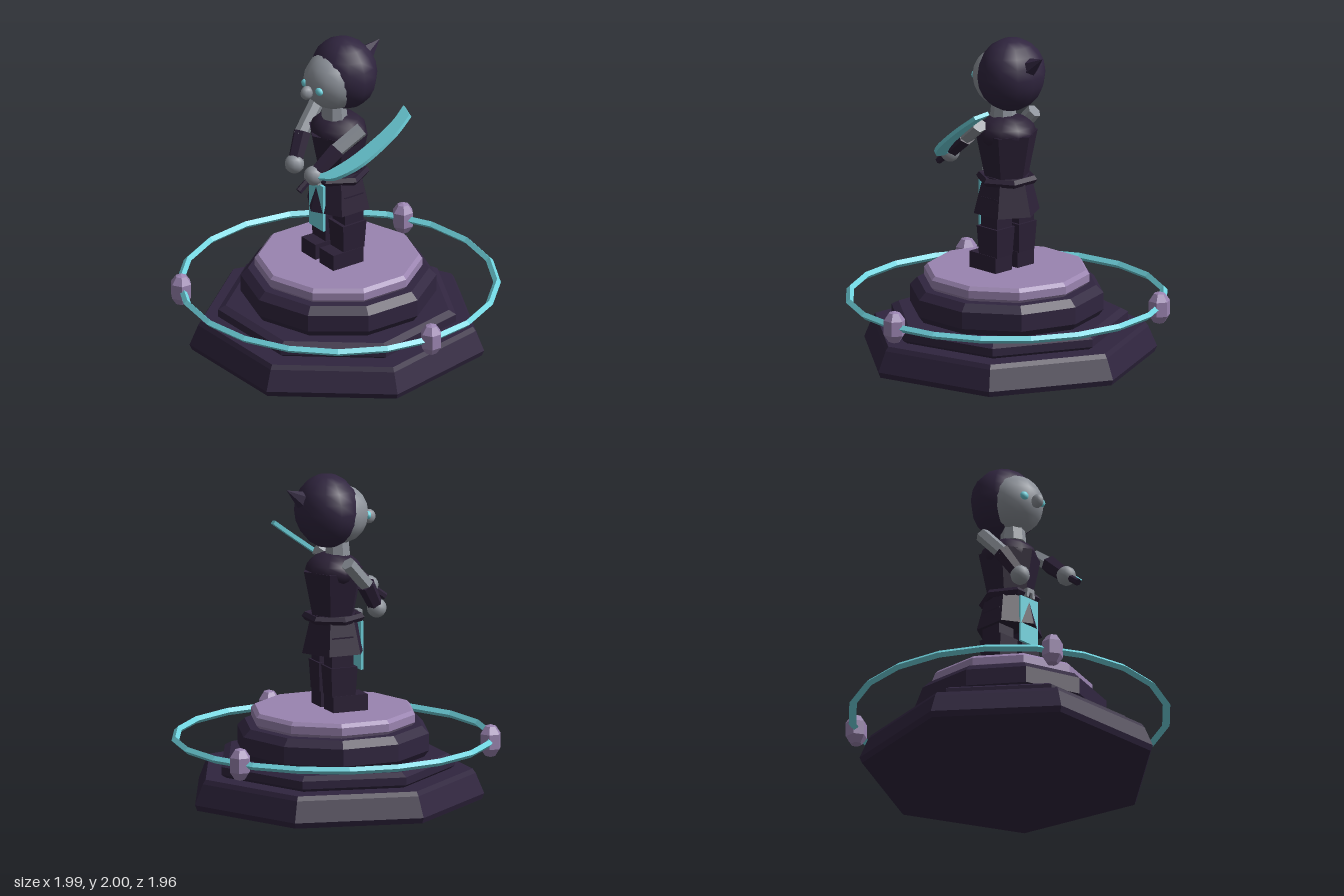
import * as THREE from 'three';

const mat = (name, color) => {
  const m = new THREE.MeshStandardMaterial({ color });
  m.name = name;
  return m;
};
const V = (x, y, z) => new THREE.Vector3(x, y, z);

// Faceted normals stored in the geometry
const flat = (geo) => {
  const g = geo.index ? geo.toNonIndexed() : geo;
  g.computeVertexNormals();
  return g;
};

export function createModel() {
  const stone = mat('dark purple stone', 0x30253f);
  const cloth = mat('dark plum cloth', 0x2b2036);
  const lavender = mat('lavender', 0x9a84b0);
  const cyan = mat('cyan', 0x6fd3de);
  const grey = mat('grey skin', 0x8c9199);

  const root = new THREE.Group();
  root.name = 'statue';
  const body = new THREE.Group();
  body.name = 'figureAndPlinth';
  body.position.x = -0.018;
  root.add(body);

  const add = (name, geo, material, x = 0, y = 0, z = 0, parent = body) => {
    const m = new THREE.Mesh(geo, material);
    m.name = name;
    m.position.set(x, y, z);
    parent.add(m);
    return m;
  };
  const box = (w, h, d) => new THREE.BoxGeometry(w, h, d);
  const ball = (r, ws = 10, hs = 8) => new THREE.SphereGeometry(r, ws, hs);
  // Prism between two points
  const limb = (name, a, b, ra, rb, material, sides = 6) => {
    const geo = flat(new THREE.CylinderGeometry(rb, ra, a.distanceTo(b), sides));
    const m = add(name, geo, material);
    m.position.copy(a).add(b).multiplyScalar(0.5);
    m.quaternion.setFromUnitVectors(V(0, 1, 0), b.clone().sub(a).normalize());
    return m;
  };

  // Bevelled plinth tiers: sides, start angle, bottom, top, radius, bevels [low inset, low height, top inset, top height]
  const tier = (name, sides, start, y0, y1, r, [li, lh, ti, th], material) => {
    const p = [[0, y0], [r - li, y0], [r, y0 + lh], [r, y1 - th], [r - ti, y1], [0, y1]]
      .map(([x, y]) => new THREE.Vector2(x, y));
    add(name, flat(new THREE.LatheGeometry(p, sides, start)), material);
  };
  const base = new THREE.LatheGeometry(
    [[0, 0], [0.895, 0], [0.91, 0.035], [0.858, 0.16], [0.84, 0.187], [0, 0.187]]
      .map(([x, y]) => new THREE.Vector2(x, y)), 7, Math.PI);
  add('plinthBase', flat(base), stone);
  tier('plinthSecondTier', 7, Math.PI, 0.187, 0.28, 0.735, [0.03, 0.02, 0.045, 0.025], stone);
  tier('plinthThirdTier', 10, 0, 0.28, 0.47, 0.59, [0.03, 0.04, 0.045, 0.045], stone);
  tier('plinthTop', 10, 0, 0.47, 0.56, 0.505, [0.02, 0.02, 0.022, 0.022], lavender);

  // Floating ring with three gems
  const ring = add('ring', flat(new THREE.TorusGeometry(0.955, 0.023, 4, 20)), cyan, 0, 0.375, 0);
  ring.rotation.x = -Math.PI / 2;
  const gemProfile = [[0, -0.102], [0.035, -0.09], [0.066, -0.045], [0.066, 0.045], [0.035, 0.09], [0, 0.102]]
    .map(([x, y]) => new THREE.Vector2(x, y));
  for (let i = 0; i < 3; i++) {
    const a = (i * Math.PI * 2) / 3;
    add('ringGem', flat(new THREE.LatheGeometry(gemProfile, 6)), lavender,
      0.952 * Math.cos(a), 0.375, 0.952 * Math.sin(a));
  }

  // Legs
  for (const s of [-1, 1]) {
    const x = s * 0.093;
    add('foot', box(0.14, 0.1, 0.225), cloth, x, 0.61, 0.043);
    const shin = flat(new THREE.CylinderGeometry(0.107, 0.094, 0.18, 4, 1, false, Math.PI / 4));
    add('boot', shin, cloth, x, 0.745, 0).scale.z = 1.15;
    add('thigh', box(0.125, 0.2, 0.14), cloth, x, 0.92, -0.005);
  }

  // Tunic, belt and hanging cloth
  add('skirt', flat(new THREE.CylinderGeometry(0.147, 0.205, 0.23, 6)), cloth, 0, 1.025, 0);
  add('torso', flat(new THREE.CylinderGeometry(0.193, 0.135, 0.28, 6)), cloth, 0, 1.27, 0);
  const belt = add('belt', flat(new THREE.TorusGeometry(0.165, 0.026, 5, 6)), cloth, 0, 1.12, 0);
  belt.rotation.x = -Math.PI / 2;
  const shoulders = add('shoulders', ball(0.19, 10, 8), cloth, 0, 1.405, 0);
  shoulders.scale.set(0.97, 0.6, 0.9);
  add('frontCloth', box(0.147, 0.3, 0.016), cyan, 0, 0.94, 0.158);
  // Buckle: a small frame open at the bottom
  const buckle = new THREE.Shape([[-0.036, -0.03], [-0.016, -0.03], [-0.012, 0.002], [0.012, 0.002],
    [0.016, -0.03], [0.036, -0.03], [0.028, 0.03], [-0.028, 0.03]].map(([x, y]) => new THREE.Vector2(x, y)));
  add('buckle', new THREE.ExtrudeGeometry(buckle, { depth: 0.03, bevelEnabled: false }), grey, 0, 1.12, 0.15);

  // Neck and head
  add('neck', flat(new THREE.CylinderGeometry(0.07, 0.08, 0.1, 8)), grey, 0, 1.55, 0.03);
  add('head', ball(0.183, 14, 10), grey, 0, 1.75, 0.035);
  const hair = add('hair', ball(1, 12, 10), stone, 0, 1.775, -0.04);
  hair.scale.set(0.222, 0.225, 0.195);
  limb('hairSpike', V(0, 1.84, -0.18), V(0, 1.92, -0.305), 0.068, 0.001, stone);
  for (const s of [-1, 1]) {
    add('eye', ball(0.03), cyan, s * 0.072, 1.74, 0.195).scale.set(1, 0.85, 0.7);
  }
  add('nose', ball(0.042), grey, 0, 1.715, 0.235).scale.set(0.8, 1.05, 1);

  // Arms: shoulder, elbow, hand
  const arms = {
    right: [V(-0.23, 1.49, -0.005), V(-0.19, 1.325, 0.145), V(-0.14, 1.18, 0.225)],
    left: [V(0.235, 1.495, -0.005), V(0.188, 1.37, 0.17), V(0.172, 1.25, 0.31)],
  };
  for (const [side, [shoulder, elbow, hand]] of Object.entries(arms)) {
    limb(side + 'UpperArm', shoulder, elbow, 0.046, 0.046, grey);
    limb(side + 'Forearm', elbow.clone().lerp(shoulder, 0.12), hand, 0.056, 0.045, cloth);
    add(side + 'Hand', ball(0.06), grey, hand.x, hand.y, hand.z);
  }

  // Curved sword, drawn flat and tilted back
  const sword = new THREE.Group();
  sword.name = 'sword';
  sword.position.copy(arms.left[2]);
  sword.rotation.x = -0.935;
  body.add(sword);
  const blade = new THREE.Shape();
  blade.moveTo(0.02, -0.01);
  blade.splineThru([[0.075, 0.005], [0.175, 0.06], [0.27, 0.22], [0.312, 0.46], [0.296, 0.63]]
    .map(([x, y]) => new THREE.Vector2(x, y)));
  blade.lineTo(0.2, 0.66);
  blade.splineThru([[0.217, 0.55], [0.205, 0.42], [0.155, 0.22], [0.075, 0.06], [0.02, 0.02]]
    .map(([x, y]) => new THREE.Vector2(x, y)));
  const bladeGeo = new THREE.ExtrudeGeometry(blade, { depth: 0.024, bevelEnabled: false, curveSegments: 8 });
  add('blade', bladeGeo, cyan, 0, 0, -0.012, sword);
  add('hilt', flat(new THREE.CylinderGeometry(0.022, 0.022, 0.16, 6)), cloth, -0.005, -0.05, 0, sword);

  return root;
}
